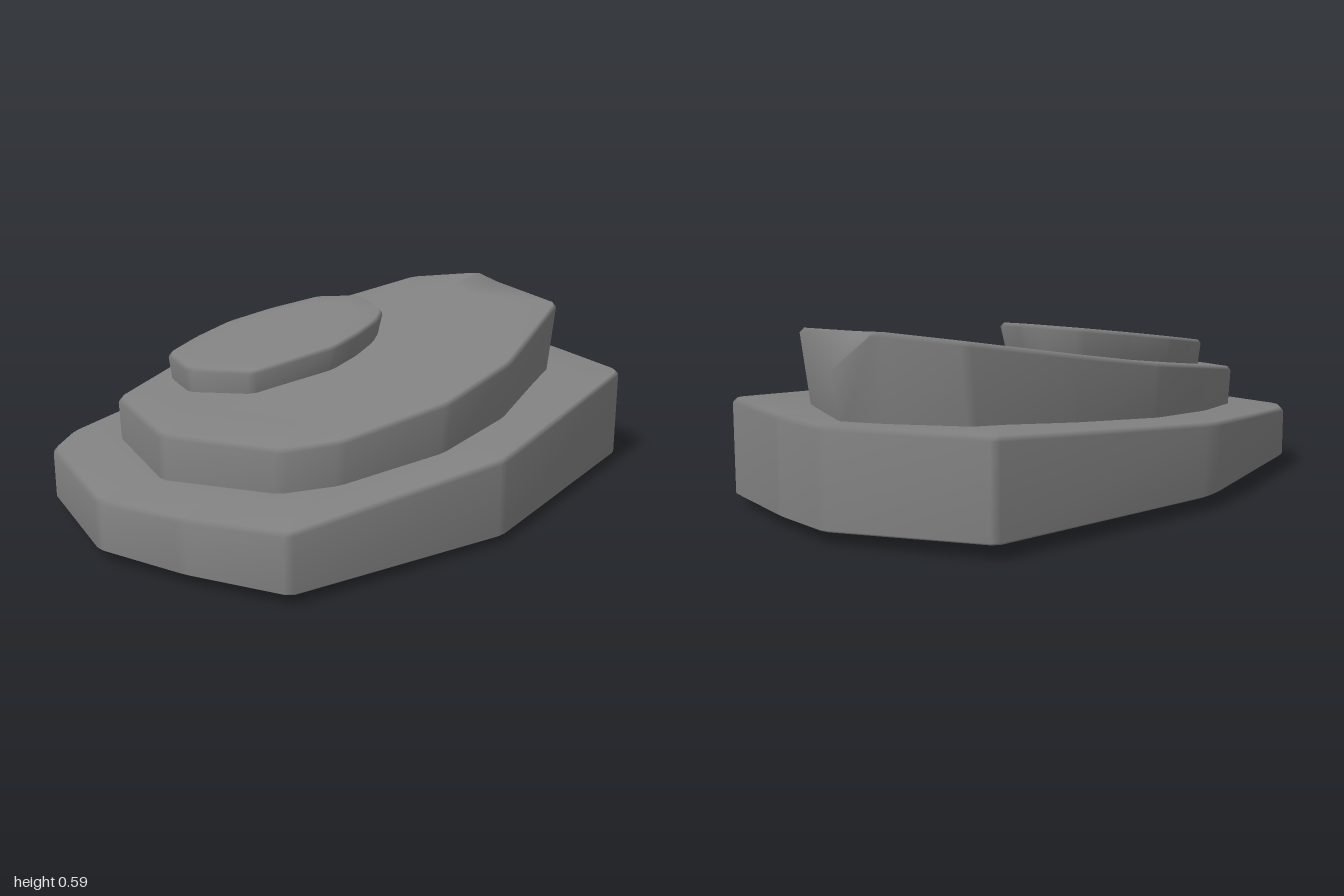
import * as THREE from 'three';

const material = new THREE.MeshStandardMaterial({ color: 0x828282 });

// Splits each corner in two so upright edges look softly worn.
// Corners with their own chamfer stay sharp.
function softenCorners(points, size = 0.016) {
  const n = points.length;
  return points.flatMap((p, i) => {
    if (p[3]) return [p];
    return [points[(i + n - 1) % n], points[(i + 1) % n]].map((q) => {
      const t = Math.min(0.3, size / Math.hypot(q[0] - p[0], q[1] - p[1]));
      return [0, 1, 2].map((k) => p[k] + (q[k] - p[k]) * t);
    });
  });
}

// Rock slab lofted from one outline, counter-clockwise from above.
// Each outline point is [x, z, top height, chamfer (optional)].
// centre is [x, top height, z]; floor(x, z) gives the lower edge height.
// The foot shrinks towards [pivotX, centre z] by the lean factor.
function slab(name, corners, { centre, floor, floorCentre, pivotX = 0, lean = 1, bevel = 0.014 }) {
  const [cx, cy, cz] = centre;
  const outline = softenCorners(corners);
  const n = outline.length;
  const towards = (p, t, y) => [cx + (p[0] - cx) * t, y, cz + (p[1] - cz) * t];
  const inset = (p, d) => 1 - d / Math.hypot(p[0] - cx, p[1] - cz);
  const foot = outline.map(([x, z]) => [pivotX + (x - pivotX) * lean, cz + (z - cz) * lean]);
  const underY = (p) => floor(p[0], p[1]) - bevel * 0.6;

  const rings = [
    foot.map((p) => towards(p, 0.6, floorCentre + (underY(p) - floorCentre) * 0.35)),
    foot.map((p) => towards(p, inset(p, bevel), underY(p))),
    foot.map((p) => towards(p, 1, floor(p[0], p[1]))),
    outline.map((p) => towards(p, 1, p[2] - (p[3] ?? bevel))),
    outline.map((p) => towards(p, inset(p, p[3] ?? bevel), p[2])),
    outline.map((p) => towards(p, inset(p, p[3] ?? bevel) * 0.8, p[2] + (cy - p[2]) * 0.2)),
  ];

  const positions = rings.flat(2);
  const index = [];
  for (let r = 0; r < rings.length - 1; r++) {
    for (let i = 0; i < n; i++) {
      const j = (i + 1) % n;
      const a = r * n + i, b = r * n + j, c = a + n, d = b + n;
      index.push(a, b, d, a, d, c);
    }
  }

  // Close the underside and the top with fans
  const under = positions.length / 3;
  positions.push(cx, floorCentre, cz, cx, cy, cz);
  const last = (rings.length - 1) * n;
  for (let i = 0; i < n; i++) {
    const j = (i + 1) % n;
    index.push(under, j, i, under + 1, last + i, last + j);
  }

  // Area-weighted normals keep broad faces flat and narrow bevels soft
  const geometry = new THREE.BufferGeometry();
  geometry.setAttribute('position', new THREE.Float32BufferAttribute(positions, 3));
  geometry.setIndex(index);
  geometry.computeVertexNormals();
  const mesh = new THREE.Mesh(geometry, material);
  mesh.name = name;
  return mesh;
}

// Gives every outline point the height of a sloping top
const sloped = (points, height) => points.map(([x, z]) => [x, z, height(x)]);

export function createModel() {
  const group = new THREE.Group();
  group.name = 'steppedRock';

  // Broad base slab, rising gently towards +x
  const baseTop = (x) => Math.min(0.335, 0.274 + 0.075 * x);
  const base = sloped([
    [1, -0.06], [0.83, -0.545], [0, -0.7], [-0.07, -0.7], [-0.73, -0.59],
    [-0.85, -0.515], [-1, -0.06], [-0.93, 0.24], [-0.81, 0.545], [-0.07, 0.7],
    [0.8, 0.54], [0.83, 0.52], [0.95, 0.17],
  ], baseTop);
  group.add(slab('baseSlab', base, {
    centre: [0, 0.276, 0],
    floor: (x, z) => 0.037 + 0.006 * Math.abs(x) - 0.015 * z,
    floorCentre: 0,
  }));

  // Middle slab, steeper, with a broad chamfer at its high end
  const middle = [
    [0.925, -0.03, 0.577, 0.105], [0.875, -0.16, 0.587], [0.74, -0.37, 0.562],
    [0.4, -0.48, 0.505], [0.04, -0.545, 0.45], [-0.32, -0.51, 0.405],
    [-0.66, -0.415, 0.36], [-0.795, -0.02, 0.357], [-0.65, 0.345, 0.36],
    [-0.5, 0.445, 0.375], [-0.13, 0.53, 0.425], [0.22, 0.495, 0.475],
    [0.73, 0.315, 0.56],
  ];
  group.add(slab('middleSlab', middle, {
    centre: [0.03, 0.455, 0],
    floor: (x) => baseTop(x) - 0.04,
    floorCentre: 0.22,
    pivotX: -0.7,
    lean: 0.975,
  }));

  // Small cap slab set back from the front
  const cap = sloped([
    [0.23, -0.38], [0.04, -0.445], [-0.14, -0.475], [-0.31, -0.45],
    [-0.46, -0.405], [-0.52, -0.23], [-0.43, -0.015], [-0.13, 0.052],
    [0.01, 0.03], [0.14, -0.01], [0.22, -0.06], [0.29, -0.2], [0.295, -0.26],
  ], (x) => 0.531 + 0.13 * x);
  group.add(slab('capSlab', cap, {
    centre: [-0.1, 0.518, -0.22],
    floor: (x) => 0.42 + 0.13 * x,
    floorCentre: 0.39,
    pivotX: -0.3,
    lean: 0.95,
    bevel: 0.012,
  }));

  return group;
}
